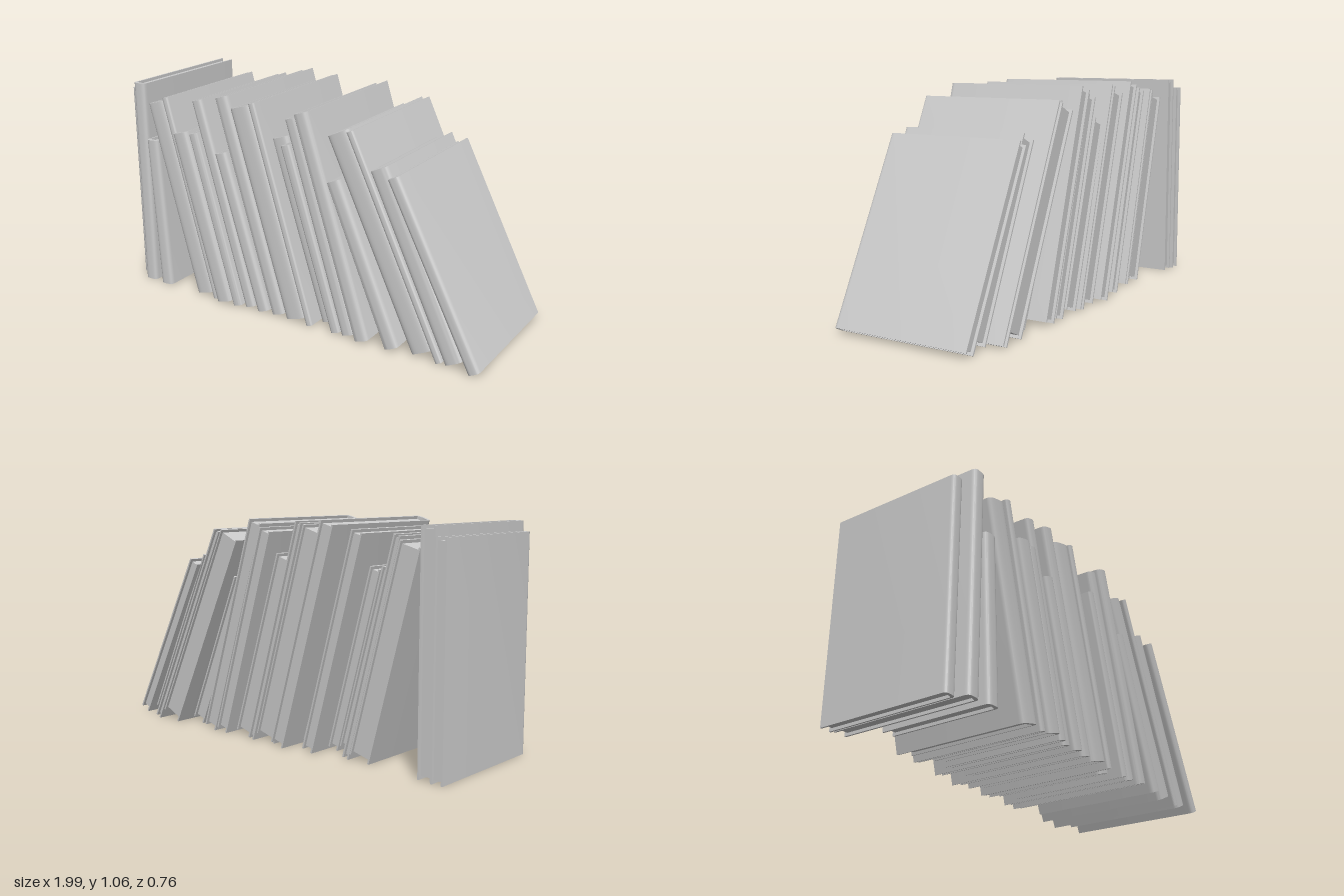
import * as THREE from 'three';
import { toCreasedNormals } from 'three/addons/utils/BufferGeometryUtils.js';

const material = new THREE.MeshStandardMaterial({ color: 0xcccccc });
const BOARD = 0.008; // cover thickness
const INSET = 0.014; // how far the pages sit back from the cover edges

// Lower left corner x, thickness, height, lean in degrees, back z, spine z
const BOOKS = [
  [-1.0, 0.06, 1.005, 0, -0.38, 0.28],
  [-0.935, 0.07, 1.05, 0, -0.365, 0.34],
  [-0.82, 0.072, 0.77, 3.2, -0.2, 0.35],
  [-0.58, 0.11, 0.99, 15.2, -0.33, 0.35],
  [-0.465, 0.035, 1.035, 15.2, -0.33, 0.36],
  [-0.43, 0.093, 0.867, 15.7, -0.24, 0.38],
  [-0.335, 0.055, 0.877, 15.6, -0.25, 0.37],
  [-0.275, 0.06, 1.045, 15.8, -0.36, 0.35],
  [-0.195, 0.07, 0.8, 16.7, -0.25, 0.36],
  [-0.115, 0.075, 1.082, 16.4, -0.385, 0.35],
  [-0.03, 0.12, 1.044, 16.7, -0.35, 0.355],
  [0.093, 0.035, 1.085, 16.6, -0.365, 0.36],
  [0.135, 0.095, 0.912, 17.5, -0.345, 0.29],
  [0.23, 0.052, 0.909, 17.3, -0.25, 0.36],
  [0.285, 0.068, 1.04, 17, -0.36, 0.355],
  [0.365, 0.075, 1.08, 17.5, -0.36, 0.375],
  [0.52, 0.075, 0.802, 22.7, -0.3, 0.37],
  [0.645, 0.118, 1.046, 25.2, -0.36, 0.345],
  [0.775, 0.035, 1.089, 25.3, -0.37, 0.36],
  [0.815, 0.092, 0.913, 25.3, -0.29, 0.355],
  [0.94, 0.06, 0.913, 27, -0.315, 0.38],
];

// Wrapped cover: two boards joined by a rounded spine, extruded up the book
function coverGeometry(t, h, back, front) {
  const bulge = Math.min(0.025, t * 0.35);
  const shoulder = front - bulge;
  const s = new THREE.Shape();
  s.moveTo(0, -back);
  s.lineTo(0, -shoulder);
  s.bezierCurveTo(0, -front, t * 0.2, -front, t / 2, -front);
  s.bezierCurveTo(t * 0.8, -front, t, -front, t, -shoulder);
  s.lineTo(t, -back);
  s.lineTo(t - BOARD, -back);
  s.lineTo(t - BOARD, -shoulder);
  s.quadraticCurveTo(t / 2, -front + BOARD, BOARD, -shoulder);
  s.lineTo(BOARD, -back);
  s.closePath();
  const g = new THREE.ExtrudeGeometry(s, { depth: h, bevelEnabled: false, curveSegments: 6 });
  g.rotateX(-Math.PI / 2);
  return toCreasedNormals(g, 0.6);
}

// Page block set in from the top, bottom and fore edge
function pagesGeometry(t, h, back, front) {
  const z0 = back + INSET, z1 = front - Math.min(0.025, t * 0.35);
  const g = new THREE.BoxGeometry(t - 2 * BOARD, h - 2 * INSET, z1 - z0);
  g.translate(t / 2, h / 2, (z0 + z1) / 2);
  return g;
}

export function createModel() {
  const model = new THREE.Group();
  model.name = 'bookRow';
  BOOKS.forEach(([x, t, h, lean, back, front], i) => {
    const book = new THREE.Group();
    book.name = `book${i + 1}`;
    const cover = new THREE.Mesh(coverGeometry(t, h, back, front), material);
    cover.name = 'cover';
    const pages = new THREE.Mesh(pagesGeometry(t, h, back, front), material);
    pages.name = 'pages';
    book.add(cover, pages);
    // each book leans about its lower left edge
    book.position.set(x, 0.004, 0);
    book.rotation.z = THREE.MathUtils.degToRad(lean);
    model.add(book);
  });
  return model;
}
